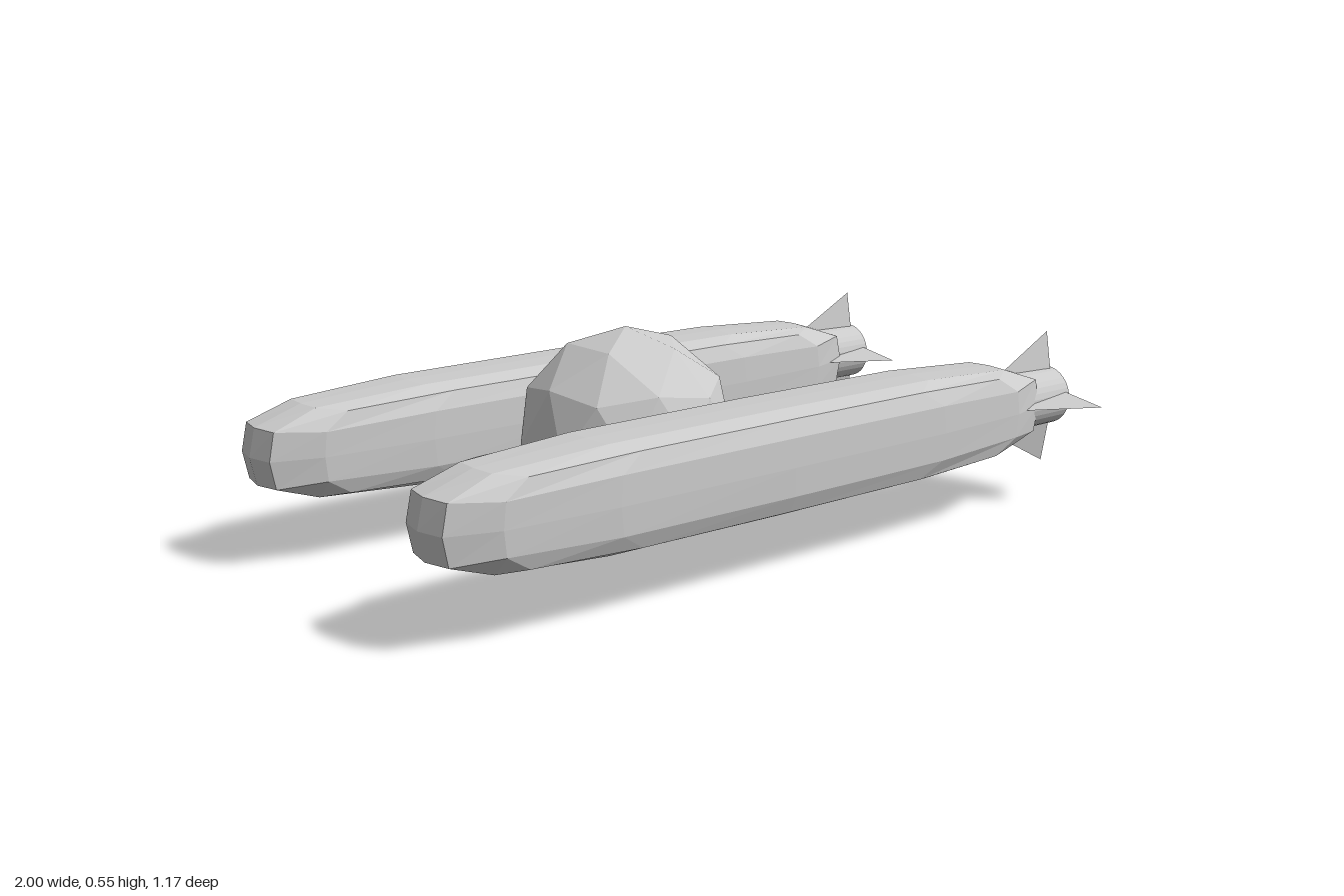
import * as THREE from 'three';

const material = new THREE.MeshStandardMaterial({ color: 0xcccccc, flatShading: true });
const MID_Y = 0.278;

function part(name, geometry, x = 0, y = 0, z = 0) {
  const mesh = new THREE.Mesh(geometry, material);
  mesh.name = name;
  mesh.position.set(x, y, z);
  return mesh;
}

// Subdivided box pushed onto a squarish superellipsoid, then stretched
function hullGeometry(hx, hy, hz) {
  const n = 4.3;
  const geometry = new THREE.BoxGeometry(2, 2, 2, 4, 4, 4);
  const pos = geometry.attributes.position;
  const spread = (v) => (Math.abs(Math.abs(v) - 0.5) < 0.01 ? Math.sign(v) * 0.55 : v);
  for (let i = 0; i < pos.count; i++) {
    const p = [pos.getX(i), pos.getY(i), pos.getZ(i)].map(spread);
    const len = Math.pow(p.reduce((s, v) => s + Math.pow(Math.abs(v), n), 0), 1 / n);
    pos.setXYZ(i, (p[0] / len) * hx, (p[1] / len) * hy, (p[2] / len) * hz);
  }
  geometry.computeVertexNormals();
  return geometry;
}

// Flattened four-sided spike: point forward (-x), thin diamond at the back;
// its two sharp corners stand out of the hull as a pair of fins
function finPairGeometry(halfY, halfZ) {
  const length = 0.35;
  const geometry = new THREE.ConeGeometry(1, length, 4);
  geometry.rotateZ(Math.PI / 2);
  geometry.scale(1, halfY, halfZ);
  geometry.translate(0.988 - length / 2, 0, 0);
  return geometry;
}

function createPod(name, z, hullShift) {
  const pod = new THREE.Group();
  pod.name = name;
  pod.position.set(0, MID_Y, z);
  pod.add(part('hull', hullGeometry(0.95, 0.132, 0.132), -0.05, 0, hullShift));
  const nozzle = new THREE.CylinderGeometry(0.078, 0.078, 0.4, 32);
  nozzle.rotateZ(Math.PI / 2);
  pod.add(part('tailNozzle', nozzle, 0.8));
  pod.add(part('verticalFins', finPairGeometry(0.18, 0.032), 0, -0.004));
  pod.add(part('horizontalFins', finPairGeometry(0.032, 0.198)));
  return pod;
}

export function createModel() {
  const model = new THREE.Group();
  model.name = 'twinPodCraft';

  // Faceted ball between the pods, one vertex straight up
  const ball = new THREE.IcosahedronGeometry(0.275, 1);
  ball.rotateZ(-Math.atan(2 / (1 + Math.sqrt(5))));
  model.add(part('centreBall', ball, -0.155, MID_Y - 0.003, 0));

  model.add(createPod('frontPod', 0.385, -0.002));
  model.add(createPod('rearPod', -0.385, 0.011));
  return model;
}
